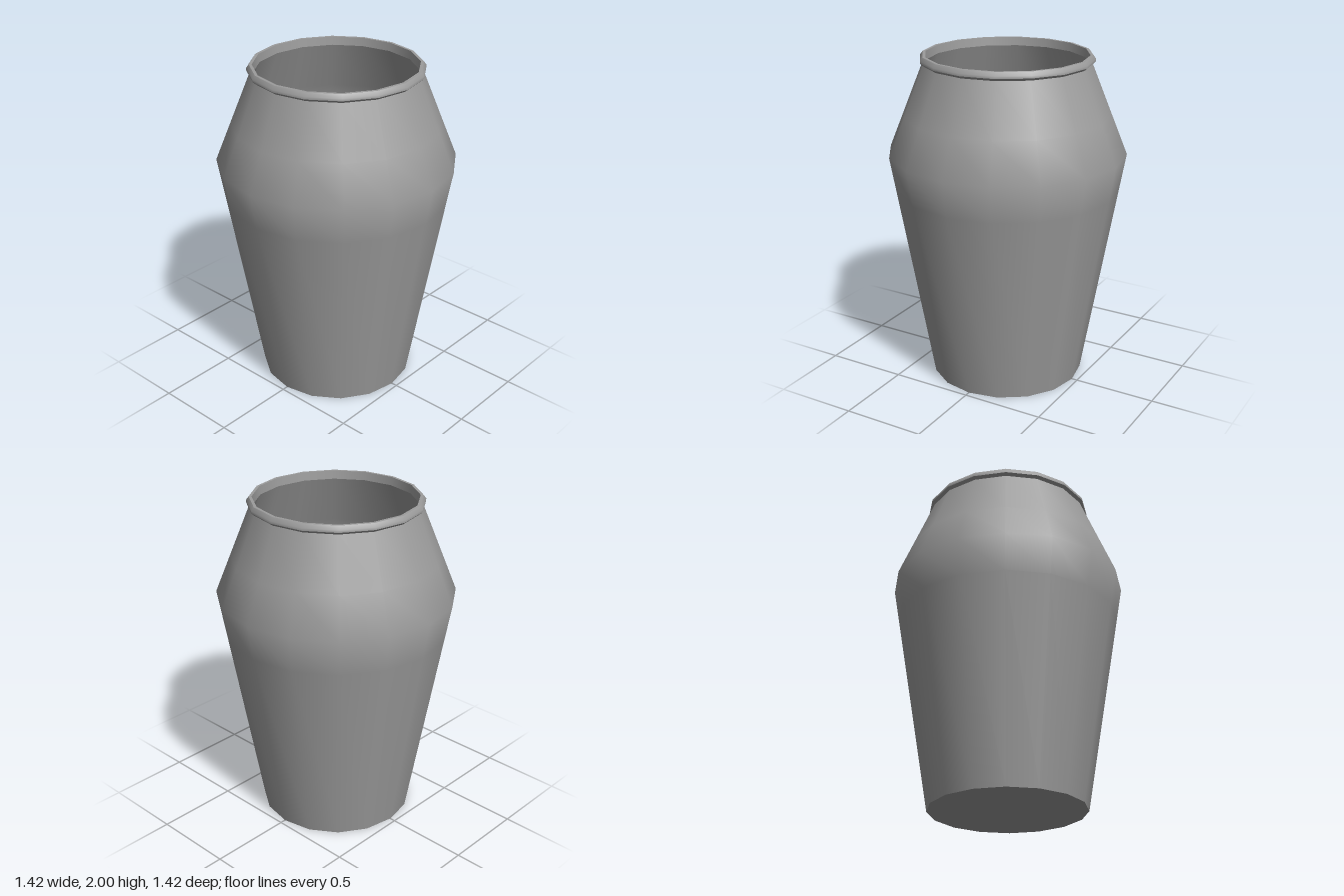
import * as THREE from 'three';

const SIDES = 16;

export function createModel() {
  const group = new THREE.Group();
  group.name = 'vase';
  const material = new THREE.MeshStandardMaterial({ color: 0x9c9c9c });

  // Revolve a [radius, height] profile; separate profiles keep a crisp edge between them
  const turn = (name, profile) => {
    const points = profile.map(([r, y]) => new THREE.Vector2(r, y));
    const mesh = new THREE.Mesh(new THREE.LatheGeometry(points, SIDES), material);
    mesh.name = name;
    group.add(mesh);
  };

  // Underside and tapered body; rings near the shoulder keep its soft shading local
  turn('base', [[0, 0], [0.465, 0]]);
  turn('outerWall', [[0.465, 0], [0.671, 1.2], [0.709, 1.42], [0.616, 1.65], [0.495, 1.95]]);

  // Bevelled lip around the mouth
  turn('lipUnderside', [[0.495, 1.95], [0.512, 1.965]]);
  turn('lipSide', [[0.512, 1.965], [0.512, 1.98], [0.497, 2]]);
  turn('lipTop', [[0.497, 2], [0.48, 2]]);

  // Hollow inside, following the outer wall
  turn('mouth', [[0.48, 2], [0.475, 1.95]]);
  turn('innerWall', [[0.475, 1.95], [0.594, 1.65], [0.685, 1.42], [0.648, 1.2], [0.447, 0.02]]);
  turn('innerFloor', [[0.447, 0.02], [0, 0.02]]);

  return group;
}
